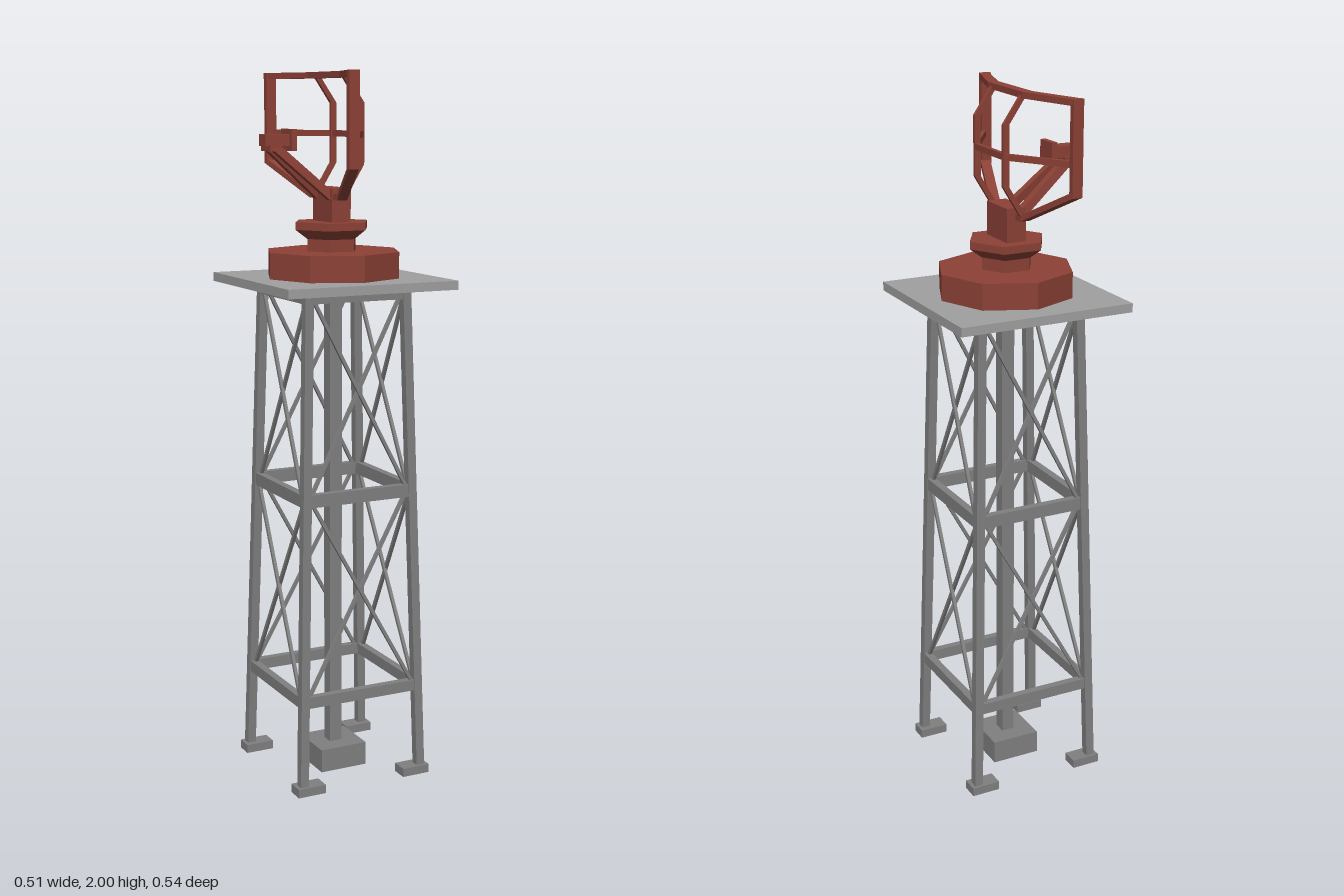
import * as THREE from 'three';

const mat = (name, color) => {
  const m = new THREE.MeshStandardMaterial({ color, flatShading: true });
  m.name = name;
  return m;
};

// Bar along a bent path with a fixed rectangular section spanned by u and v.
function barGeometry(path, u, v) {
  let U = new THREE.Vector3(...u), V = new THREE.Vector3(...v);
  const pts = path.map((p) => new THREE.Vector3(...p));
  const dir = pts[pts.length - 1].clone().sub(pts[0]);
  if (U.clone().cross(V).dot(dir) < 0) [U, V] = [V, U];
  const rings = pts.map((p) => [[-1, -1], [1, -1], [1, 1], [-1, 1]].map(([a, b]) =>
    p.clone().addScaledVector(U, a / 2).addScaledVector(V, b / 2)));
  const out = [];
  const quad = (a, b, c, d) => [a, b, c, a, c, d].forEach((p) => out.push(p.x, p.y, p.z));
  for (let i = 0; i < rings.length - 1; i++) {
    for (let k = 0; k < 4; k++) {
      const n = (k + 1) % 4;
      quad(rings[i][k], rings[i][n], rings[i + 1][n], rings[i + 1][k]);
    }
  }
  const [s, e] = [rings[0], rings[rings.length - 1]];
  quad(s[3], s[2], s[1], s[0]);
  quad(e[0], e[1], e[2], e[3]);
  const g = new THREE.BufferGeometry();
  g.setAttribute('position', new THREE.Float32BufferAttribute(out, 3));
  g.computeVertexNormals();
  return g;
}

export function createModel() {
  const model = new THREE.Group();
  model.name = 'radarTower';
  const steel = mat('steelGrey', 0x808080);
  const deck = mat('deckGrey', 0xa0a0a0);
  const red = mat('rustRed', 0x8c4136);

  const group = (name) => {
    const g = new THREE.Group();
    g.name = name;
    model.add(g);
    return g;
  };
  const add = (parent, name, geo, material) => {
    const m = new THREE.Mesh(geo, material);
    m.name = name;
    parent.add(m);
    return m;
  };
  // Box given by its lower and upper limits on each axis.
  const box = (parent, name, [x0, x1], [y0, y1], [z0, z1], material) =>
    add(parent, name, new THREE.BoxGeometry(x1 - x0, y1 - y0, z1 - z0)
      .translate((x0 + x1) / 2, (y0 + y1) / 2, (z0 + z1) / 2), material);
  const bar = (parent, name, path, u, v, material) =>
    add(parent, name, barGeometry(path, u, v), material);
  const drum = (parent, name, rTop, rBottom, y0, y1, sides, x = 0) =>
    add(parent, name, new THREE.CylinderGeometry(rTop, rBottom, y1 - y0, sides, 1, false, Math.PI / 2)
      .translate(x, (y0 + y1) / 2, 0), red);

  // Tower legs lean inwards
  const tower = group('tower');
  const half = (y) => 0.187 - 0.027 * y;
  for (const sx of [-1, 1]) {
    for (const sz of [-1, 1]) {
      bar(tower, 'leg', [0, 1.42].map((y) => [sx * half(y), y, sz * half(y)]),
        [0.025, 0, 0], [0, 0, 0.025], steel);
      box(tower, 'foot', [sx * 0.167 - 0.042, sx * 0.167 + 0.042], [0, 0.025],
        [sz * 0.182 - 0.025, sz * 0.182 + 0.025], steel);
    }
  }

  // Ring beams and cross braces, repeated on the four sides
  const beams = [[0.253, 0.285], [0.826, 0.862], [1.385, 1.415]];
  for (let side = 0; side < 4; side++) {
    const face = new THREE.Group();
    face.name = 'towerSide';
    face.rotation.y = side * Math.PI / 2;
    tower.add(face);
    for (const [y0, y1] of beams) {
      const h = half((y0 + y1) / 2);
      box(face, 'beam', [-h, h], [y0, y1], [h - 0.011, h + 0.011], steel);
    }
    for (const [y0, y1] of [[0.27, 0.844], [0.844, 1.4]]) {
      for (const s of [-1, 1]) {
        bar(face, 'crossBrace', [
          [s * (half(y0) - 0.012), y0, half(y0) + s * 0.003],
          [-s * (half(y1) - 0.012), y1, half(y1) + s * 0.003]],
        [0.011, 0, 0], [0, 0, 0.009], steel);
      }
    }
  }

  // Centre column on its block, and the deck
  box(tower, 'centreColumn', [-0.019, 0.019], [0, 1.42], [-0.019, 0.019], steel);
  box(tower, 'columnBlock', [-0.072, 0.072], [0, 0.068], [-0.072, 0.072], steel);
  box(model, 'platform', [-0.256, 0.256], [1.415, 1.44], [-0.256, 0.256], deck);

  // Turntable
  const turntable = group('turntable');
  drum(turntable, 'octagonBase', 0.193, 0.193, 1.44, 1.513, 8);
  drum(turntable, 'neck', 0.075, 0.075, 1.513, 1.55, 6, -0.004);
  drum(turntable, 'collarTaper', 0.111, 0.075, 1.547, 1.573, 6, -0.004);
  drum(turntable, 'collar', 0.111, 0.111, 1.573, 1.594, 6, -0.004);
  box(turntable, 'pedestal', [-0.033, 0.025], [1.594, 1.687], [-0.06, 0.06], red);

  // Open antenna frame, bent towards the feed
  const antenna = group('antenna');
  const X = [0.03, 0, 0], Y = [0, 0.017, 0];
  bar(antenna, 'topRail', [[-0.072, 1.9915, -0.271], [-0.015, 1.9915, -0.1],
    [-0.015, 1.9915, 0.1], [-0.072, 1.9915, 0.271]], X, Y, red);
  bar(antenna, 'bottomRail', [[-0.072, 1.755, -0.268], [-0.015, 1.664, -0.087],
    [-0.015, 1.664, 0.087], [-0.072, 1.755, 0.268]], X, Y, red);
  bar(antenna, 'middleRail', [[-0.068, 1.833, -0.262], [0.044, 1.833, -0.087],
    [0.044, 1.833, 0.087], [-0.068, 1.833, 0.262]], [0.013, 0, 0], Y, red);
  for (const s of [-1, 1]) {
    bar(antenna, 'endPost', [[-0.071, 1.747, s * 0.262], [-0.071, 2, s * 0.262]],
      X, [0, 0, 0.017], red);
    bar(antenna, 'curvedRib', [[-0.012, 1.995, s * 0.085], [0.042, 1.917, s * 0.085],
      [0.042, 1.752, s * 0.085], [-0.012, 1.664, s * 0.085]],
    [0.017, 0, 0], [0, 0, 0.011], red);
  }

  // Feed horn on two converging arms
  const feed = group('feed');
  for (const s of [-1, 1]) {
    bar(feed, 'feedArm', [[-0.012, 1.652, s * 0.04], [-0.183, 1.797, s * 0.02]],
      [0.036, 0, 0], [0, 0, 0.023], red);
  }
  box(feed, 'feedMount', [-0.203, -0.167], [1.788, 1.804], [-0.031, 0.031], red);
  box(feed, 'feedBody', [-0.213, -0.138], [1.802, 1.833], [-0.021, 0.021], red);
  box(feed, 'feedPlate', [-0.141, -0.125], [1.788, 1.847], [-0.034, 0.034], red);
  return model;
}
